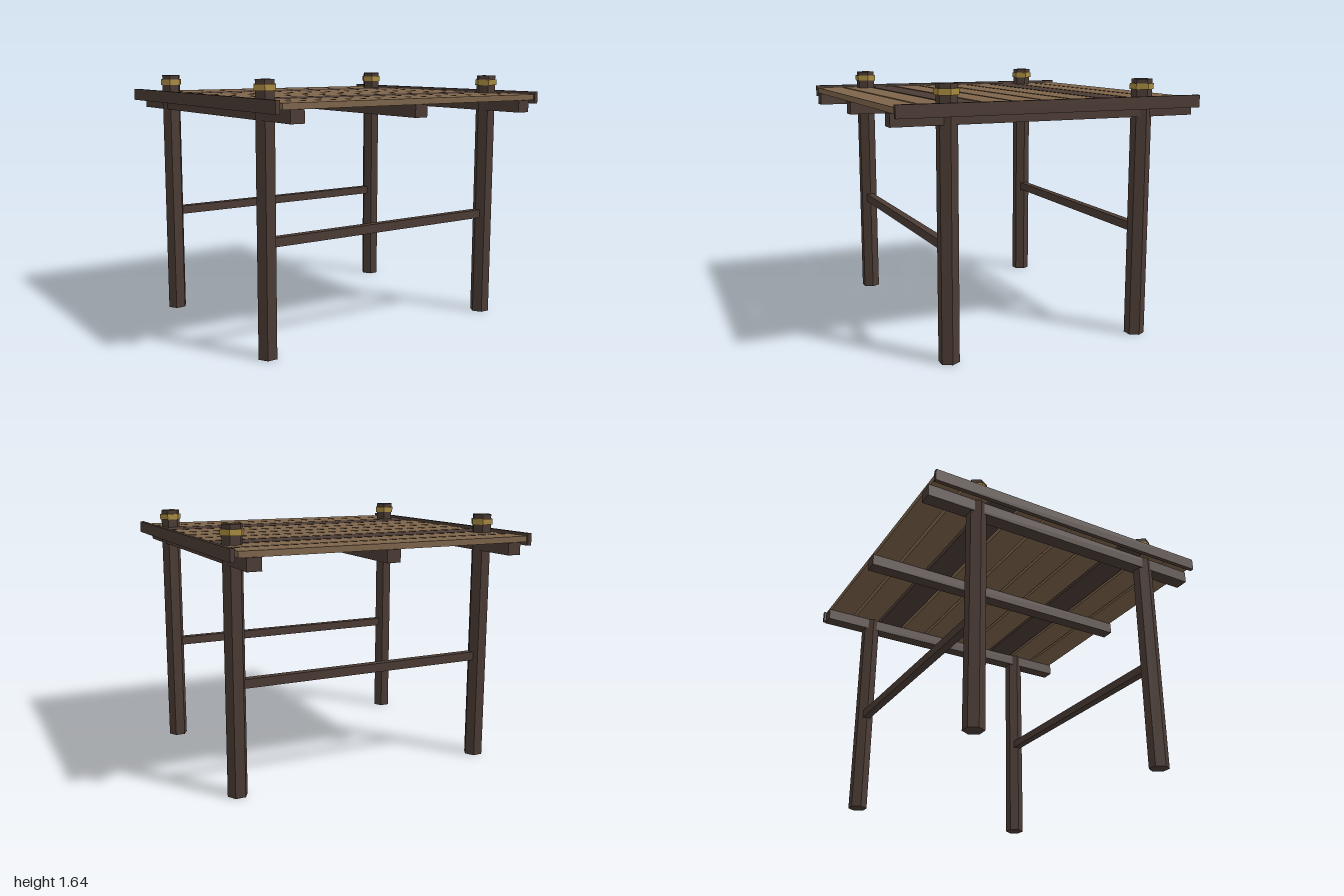
import * as THREE from 'three';

export function createModel() {
  const model = new THREE.Group();
  const mat = (name, color) => {
    const m = new THREE.MeshStandardMaterial({ color, flatShading: true });
    m.name = name;
    return m;
  };
  const darkWood = mat('dark wood', 0x4b3b34);
  const plankWood = mat('plank wood', 0x7d644a);
  const brass = mat('brass', 0xa88a40);

  const add = (name, geometry, material, x, y, z) => {
    const mesh = new THREE.Mesh(geometry, material);
    mesh.name = name;
    mesh.position.set(x, y, z);
    model.add(mesh);
    return mesh;
  };
  const box = (w, h, d) => new THREE.BoxGeometry(w, h, d);
  // Hexagonal prism with its corners pointing along x
  const hex = (r, h) => new THREE.CylinderGeometry(r, r, h, 6).rotateY(Math.PI / 6);

  const postX = 0.866, postZ = 0.645, postHeight = 1.645;

  // Four posts rising through the deck, each with a band near its top
  for (const x of [-postX, postX]) {
    for (const z of [-postZ, postZ]) {
      add('post', hex(0.064, postHeight), darkWood, x, postHeight / 2, z);
      add('postBand', hex(0.0735, 0.037), brass, x, 1.599, z);
    }
  }

  // Horizontal braces between the posts, front and back
  for (const z of [-postZ, postZ]) {
    add('crossBrace', box(1.68, 0.056, 0.052), darkWood, 0, 0.699, z);
  }

  // Three beams beneath the deck
  for (const x of [-postX, 0, postX]) {
    add('deckBeam', box(0.09, 0.078, 1.984), darkWood, x, 1.452, 0);
  }

  // Deck planks, staggered left and right, two of them dark
  for (let i = 0; i < 10; i++) {
    const dark = i === 2 || i === 7;
    add(dark ? 'darkPlank' : 'plank', box(1.92, 0.037, 0.178), dark ? darkWood : plankWood,
      i % 2 ? 0.008 : -0.008, 1.5085, (i - 4.5) * 0.198);
  }

  // Edge rails along both sides
  for (const s of [-1, 1]) {
    add('edgeRail', box(0.027, 0.077, 1.974), darkWood, s * 0.9865, 1.505, 0);
  }
  return model;
}
